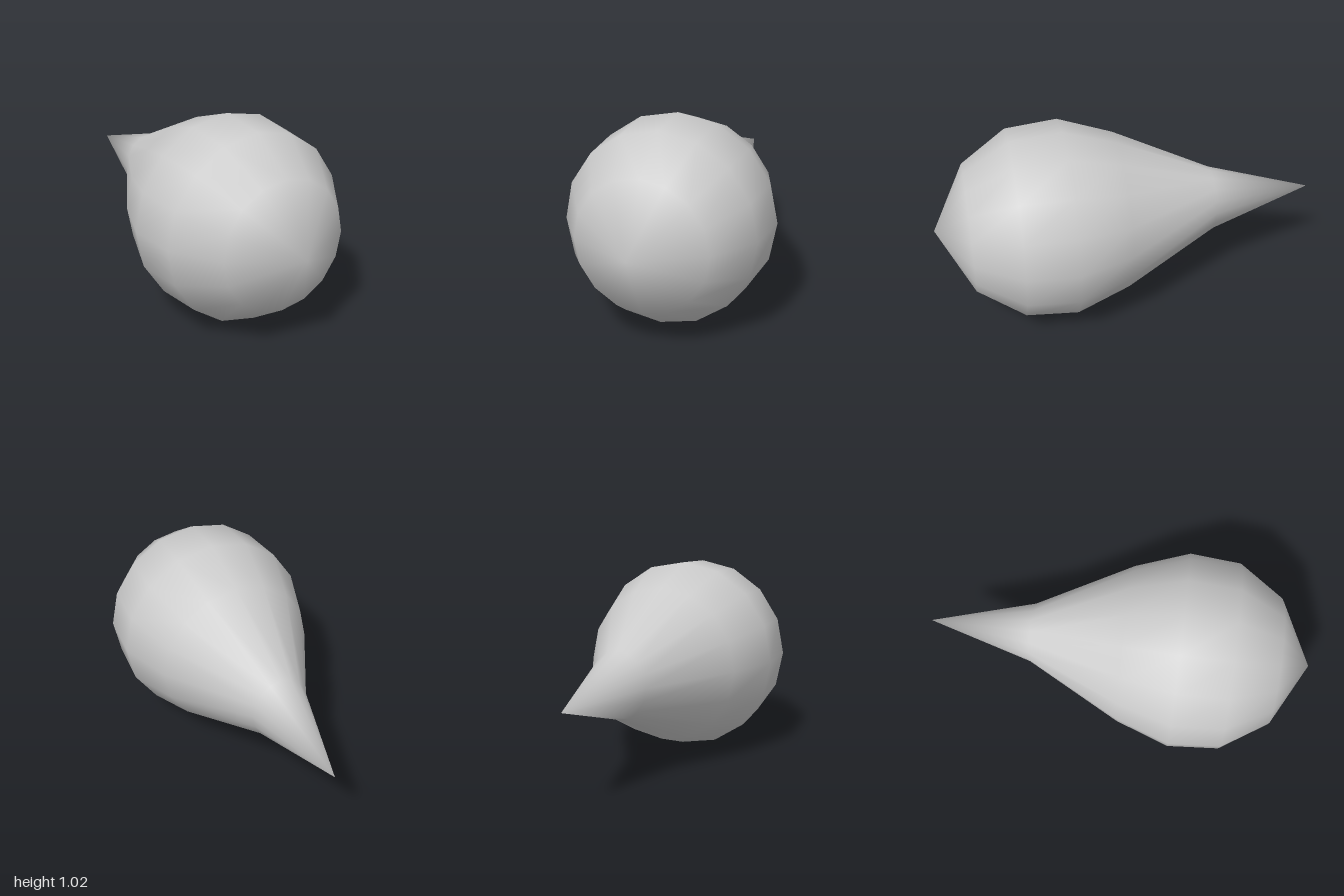
import * as THREE from 'three';
import { mergeVertices } from 'three/addons/utils/BufferGeometryUtils.js';

export function createModel() {
  const group = new THREE.Group();
  group.name = 'teardrop';

  // Profile from the pointed tail to the rounded nose: [radius, position on axis]
  const profile = [
    [0, -1], [0.15, -0.455], [0.412, 0.04], [0.51, 0.32],
    [0.489, 0.587], [0.334, 0.823], [0, 1],
  ].map(([r, z]) => new THREE.Vector2(r, z));

  // Weld the seam and poles so the shading runs smoothly over the whole drop
  let geometry = new THREE.LatheGeometry(profile, 16);
  geometry.deleteAttribute('uv');
  geometry.deleteAttribute('normal');
  geometry = mergeVertices(geometry, 1e-4);
  geometry.rotateX(Math.PI / 2);

  // The neck of the tail is slightly taller than wide
  const pos = geometry.attributes.position;
  for (let i = 0; i < pos.count; i++) {
    if (pos.getZ(i) < -0.4) pos.setY(i, pos.getY(i) * 1.17);
  }
  geometry.computeVertexNormals();

  const drop = new THREE.Mesh(geometry, new THREE.MeshStandardMaterial({ color: 0xcccccc }));
  drop.name = 'dropBody';
  drop.position.y = 0.512;
  group.add(drop);
  return group;
}
